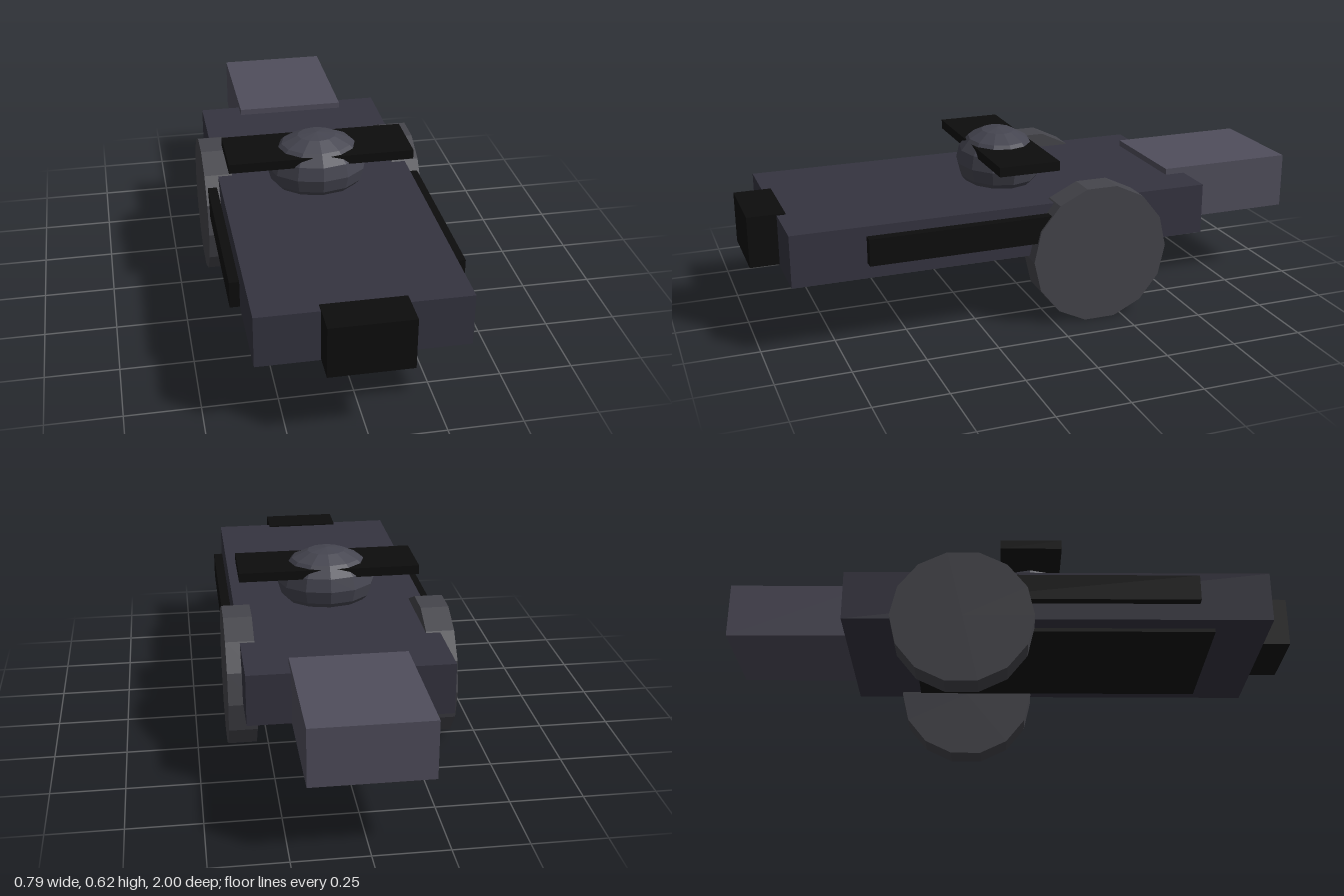
import * as THREE from 'three';

const paint = (color) => new THREE.MeshStandardMaterial({ color, flatShading: true });

export function createModel() {
  const model = new THREE.Group();
  const hull = paint(0x353440);
  const black = paint(0x0d0d0d);
  const rear = paint(0x504e5c);
  const wheelGrey = paint(0x45454b);
  const domeGrey = paint(0x454550);

  const add = (name, geometry, material) => {
    const mesh = new THREE.Mesh(geometry, material);
    mesh.name = name;
    model.add(mesh);
    return mesh;
  };

  // Box given by its min and max on each axis
  const box = (name, material, [x0, x1], [y0, y1], [z0, z1]) =>
    add(name, new THREE.BoxGeometry(x1 - x0, y1 - y0, z1 - z0), material)
      .position.set((x0 + x1) / 2, (y0 + y1) / 2, (z0 + z1) / 2);

  // Flat hull with nose block, tail block and belly plate
  box('body', hull, [-0.345, 0.345], [0.25, 0.43], [-0.58, 0.9]);
  box('noseBlock', black, [-0.138, 0.138], [0.257, 0.435], [0.87, 1]);
  box('tailBlock', rear, [-0.198, 0.198], [0.255, 0.452], [-1, -0.508]);
  box('bellyPlate', black, [-0.277, 0.277], [0.237, 0.27], [-0.34, 0.71]);

  // Squashed dome crossed by a bar
  const dome = add('dome', new THREE.SphereGeometry(1, 12, 8), domeGrey);
  dome.scale.set(0.178, 0.123, 0.148);
  dome.position.set(0, 0.495, 0.072);
  box('domeBar', black, [-0.325, 0.325], [0.537, 0.57], [-0.036, 0.18]);

  // Wheels and side rails, mirrored
  for (const [side, s] of [['left', 1], ['right', -1]]) {
    const wheelGeometry = new THREE.CylinderGeometry(0.247, 0.247, 0.099, 14).rotateZ(Math.PI / 2);
    add(side + 'Wheel', wheelGeometry, wheelGrey).position.set(s * 0.345, 0.241, -0.165);
    const rail = add(side + 'Rail', new THREE.BoxGeometry(0.033, 0.093, 0.85), black);
    rail.position.set(s * 0.37, 0.353, 0.225);
  }
  return model;
}
